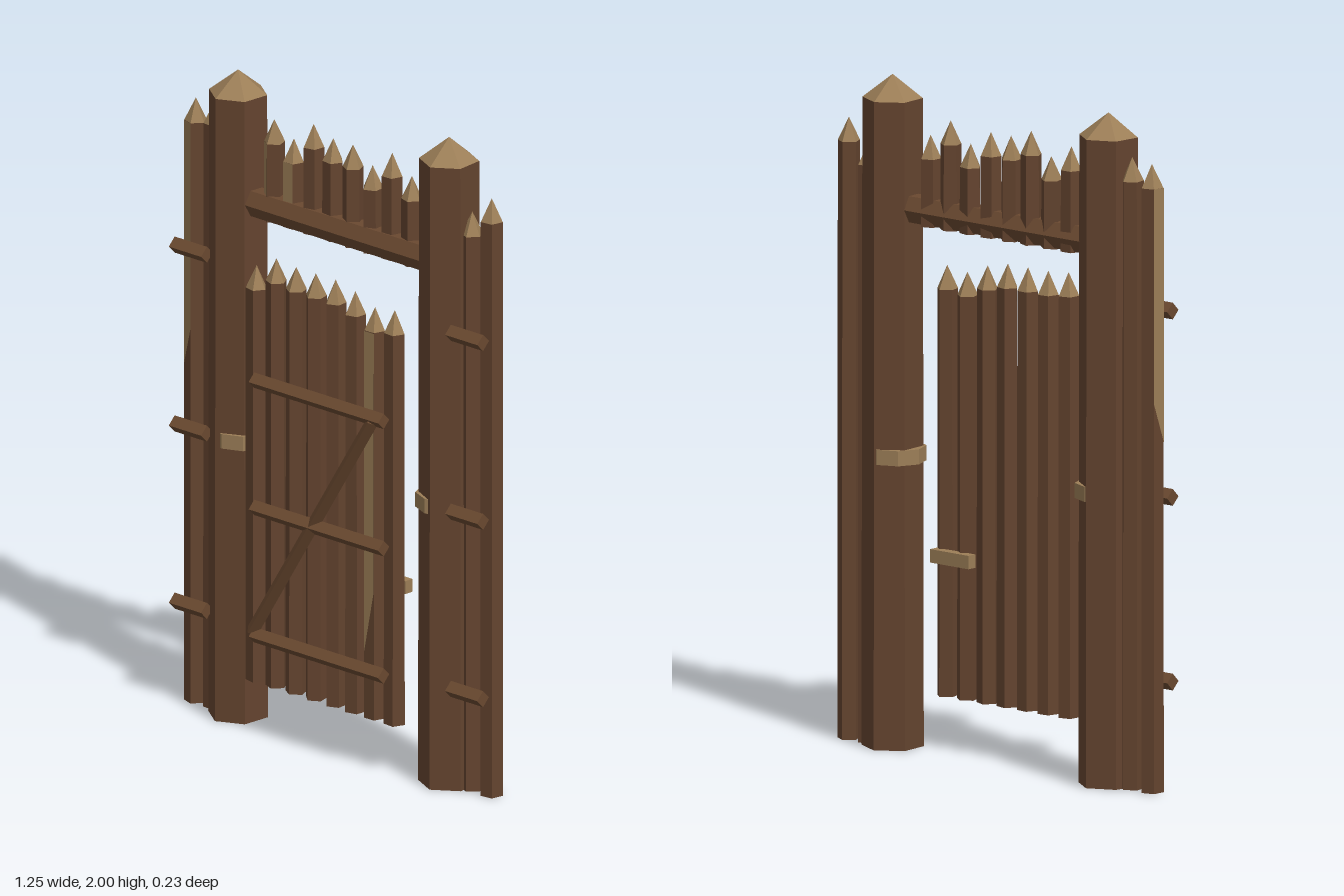
import * as THREE from 'three';

const wood = new THREE.MeshStandardMaterial({ color: 0x64442f, flatShading: true, name: 'dark wood' });
const rail = new THREE.MeshStandardMaterial({ color: 0x6a4930, flatShading: true, name: 'rail wood' });
const bare = new THREE.MeshStandardMaterial({ color: 0x9c7e57, flatShading: true, name: 'bare cut wood' });
const DEG = Math.PI / 180;

function addMesh(parent, name, geometry, material, x = 0, y = 0, z = 0) {
  const mesh = new THREE.Mesh(geometry, material);
  mesh.name = name;
  mesh.position.set(x, y, z);
  parent.add(mesh);
  return mesh;
}

// Pointed log: faceted shaft, cut tip, and an optional strip of stripped bark
function addStake(parent, name, o) {
  const { x, z, bottom, top, r, sides = 5, tip = 0.07, turn = 0, patch } = o;
  const g = new THREE.Group();
  g.name = name;
  g.position.set(x, 0, z);
  g.rotation.y = turn;
  const h = top - tip - bottom;
  addMesh(g, name + 'Shaft', new THREE.CylinderGeometry(r, r * 1.03, h, sides), wood, 0, bottom + h / 2, 0);
  addMesh(g, name + 'Tip', new THREE.ConeGeometry(r, tip, sides), bare, 0, top - tip / 2, 0);
  if (patch) {
    const ph = patch.to - patch.from;
    const geo = new THREE.CylinderGeometry(r * 1.03, r * 1.05, ph, patch.faces, 1, true, 0, patch.faces * 2 * Math.PI / sides);
    // ragged lower edge
    const p = geo.attributes.position;
    for (let i = patch.faces + 1; i < p.count; i++) {
      if (i % 2) p.setY(i, p.getY(i) + patch.rag);
    }
    addMesh(g, name + 'BarePatch', geo, bare, 0, patch.from + ph / 2, 0);
  }
  parent.add(g);
}

// Straight bar between two points, faceted, with an edge facing forward
function addBar(parent, name, a, b, r, sides = 4) {
  const start = new THREE.Vector3(...a), end = new THREE.Vector3(...b);
  const dir = end.clone().sub(start);
  const bar = addMesh(parent, name, new THREE.CylinderGeometry(r, r, dir.length(), sides), rail);
  bar.position.copy(start).add(end).multiplyScalar(0.5);
  bar.quaternion.setFromUnitVectors(new THREE.Vector3(0, 1, 0), dir.normalize());
}

export function createModel() {
  const model = new THREE.Group();
  model.name = 'palisadeGate';

  // Main posts with binding bands
  for (const s of [-1, 1]) {
    const side = s > 0 ? 'left' : 'right';
    addStake(model, side + 'Post', { x: s * 0.422, z: -0.027, bottom: 0, top: 2, r: 0.089, sides: 6, turn: s * 0.08 });
    addMesh(model, side + 'PostBand', new THREE.CylinderGeometry(0.088, 0.088, 0.045, 8), bare, s * 0.407, 0.873, -0.027);

    // Short rails tying the side stakes to the post
    for (const y of [0.32, 0.87, 1.425]) {
      addBar(model, side + 'SideRail', [s * 0.488, y, 0.036], [s * 0.617, y, 0.036], 0.025);
    }
  }

  // Side stakes
  addStake(model, 'rightOuterStake', {
    x: -0.594, z: -0.03, bottom: 0, top: 1.87, r: 0.034, turn: -128 * DEG,
    patch: { from: 1.04, to: 1.8, faces: 2, rag: 0.12 },
  });
  addStake(model, 'rightInnerStake', { x: -0.517, z: -0.03, bottom: 0, top: 1.88, r: 0.034, turn: 0.5 });
  addStake(model, 'leftInnerStake', { x: 0.512, z: -0.03, bottom: 0, top: 1.79, r: 0.034, turn: 0.2 });
  addStake(model, 'leftOuterStake', { x: 0.59, z: -0.03, bottom: 0, top: 1.85, r: 0.034, turn: 0.75 });

  // Lintel beam and the row of short stakes set into it
  addBar(model, 'lintel', [-0.37, 1.61, -0.022], [0.37, 1.61, -0.022], 0.045, 6);
  const upperTops = [1.88, 1.84, 1.905, 1.88, 1.88, 1.835, 1.893, 1.84];
  const upperPatches = {
    0: { from: 1.58, to: 1.81, faces: 1, rag: 0, turn: -71 },
    1: { from: 1.6, to: 1.77, faces: 1, rag: 0, turn: -36 },
  };
  upperTops.forEach((top, i) => {
    const patch = upperPatches[i];
    addStake(model, 'upperStake', {
      x: -0.28 + i * 0.0787, z: -0.03, bottom: 1.568, top, r: 0.032,
      turn: patch ? patch.turn * DEG : i * 0.9 + 0.3, patch,
    });
  });

  // Gate leaf
  const gate = new THREE.Group();
  gate.name = 'gate';
  model.add(gate);
  const gateTops = [1.445, 1.485, 1.478, 1.478, 1.478, 1.462, 1.432, 1.442];
  gateTops.forEach((top, i) => {
    const stripped = i === 6;
    addStake(gate, 'gateStake', {
      x: -0.285 + i * 0.079, z: 0.04, bottom: 0.16, top, r: 0.032,
      turn: stripped ? -36 * DEG : i * 1.1 + 0.4,
      patch: stripped ? { from: 0.36, to: 1.36, faces: 1, rag: 0.2 } : undefined,
    });
  });

  // Gate rails and diagonal brace
  for (const y of [0.32, 0.715, 1.11]) {
    addBar(gate, 'gateRail', [-0.248, y, 0.09], [0.27, y, 0.09], 0.024);
  }
  addBar(gate, 'gateBrace', [-0.255, 0.33, 0.09], [0.225, 1.1, 0.09], 0.021);

  // Latch on the back of the gate
  addMesh(gate, 'latch', new THREE.BoxGeometry(0.15, 0.04, 0.03), bare, 0.215, 0.58, 0.004);

  return model;
}
